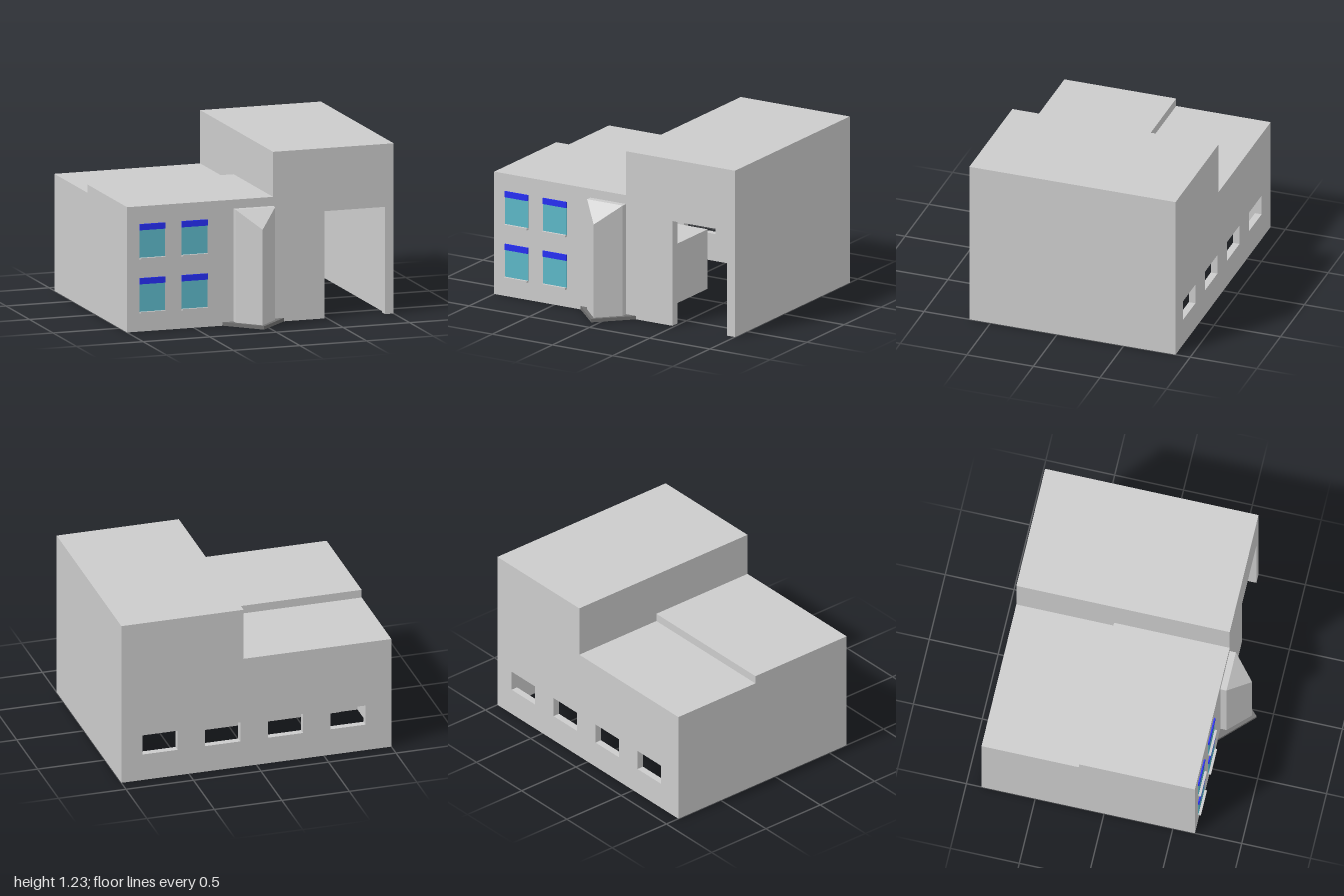
import * as THREE from 'three';

const mat = (color) => new THREE.MeshStandardMaterial({ color, flatShading: true });

export function createModel() {
  const root = new THREE.Group();
  const grey = mat(0xcccccc), dark = mat(0x707070);
  const teal = mat(0x5cb8c8), blue = mat(0x262ef5);

  const add = (name, geometry, material = grey) => {
    const mesh = new THREE.Mesh(geometry, material);
    mesh.name = name;
    root.add(mesh);
    return mesh;
  };
  // Box given by its limits on each axis
  const box = (name, [x0, x1], [y0, y1], [z0, z1], material) =>
    add(name, new THREE.BoxGeometry(x1 - x0, y1 - y0, z1 - z0)
      .translate((x0 + x1) / 2, (y0 + y1) / 2, (z0 + z1) / 2), material);
  const shape = (points) => new THREE.Shape(points.map(([x, y]) => new THREE.Vector2(x, y)));
  const extrude = (s, depth) => new THREE.ExtrudeGeometry(s, { depth, bevelEnabled: false });

  const T = 0.05, FRONT = 0.66, BACK = -0.89, STEP = -0.18, SPLIT = 0.095;
  const TALL = 1.23, LOW = 0.905, REAR = 0.845;

  // Front wall with the garage opening
  add('frontWall', extrude(shape([
    [-1, 0], [0.48, 0], [0.48, 0.775], [0.935, 0.775], [0.935, 0],
    [1, 0], [1, TALL], [SPLIT, TALL], [SPLIT, LOW], [-1, LOW],
  ]), 0.07).translate(0, 0, FRONT - 0.07));

  // Back wall with four small windows
  const back = shape([[-1, 0], [1, 0], [1, TALL], [SPLIT, TALL], [SPLIT, REAR], [-1, REAR]]);
  for (let i = 0; i < 4; i++) {
    const x = 0.583 - i * 0.464;
    back.holes.push(shape([[x, 0.2], [x, 0.35], [x + 0.26, 0.35], [x + 0.26, 0.2]]));
  }
  add('backWall', extrude(back, T).translate(0, 0, BACK));

  // Side walls
  const inZ = [BACK + T, FRONT - 0.07];
  box('leftWall', [1 - T, 1], [0, TALL], inZ);
  add('rightWall', extrude(shape([
    [-inZ[1], 0], [-inZ[0], 0], [-inZ[0], REAR], [-STEP, REAR], [-STEP, LOW], [-inZ[1], LOW],
  ]), T).rotateY(Math.PI / 2).translate(-1, 0, 0));

  // Roofs and the walls at their steps
  box('tallRoof', [SPLIT, 1 - T], [TALL - T, TALL], inZ);
  box('upperStepWall', [SPLIT, SPLIT + T], [REAR - T, TALL - T], inZ);
  box('frontLowRoof', [-1 + T, SPLIT], [LOW - T, LOW], [STEP, inZ[1]]);
  box('rearLowRoof', [-1 + T, SPLIT], [REAR - T, REAR], [inZ[0], STEP]);
  box('roofStep', [-1 + T, SPLIT], [REAR - T, LOW - T], [STEP, STEP + T]);

  // Inner rooms beside and in front of the open garage, with two plain doors
  box('innerRooms', [-1 + T, 0.22], [0, 0.44], [-0.24, inZ[1]]);
  box('innerSideDoor', [0.22, 0.225], [0, 0.27], [0.27, 0.39]);
  box('innerRearDoor', [-0.81, -0.69], [0, 0.25], [-0.245, -0.24]);

  // Front windows: glass, blue blind and sill
  for (const [x0, x1] of [[-0.907, -0.717], [-0.592, -0.397]]) {
    for (const y of [0.13, 0.52]) {
      box('windowGlass', [x0, x1], [y + 0.012, y + 0.215], [FRONT - 0.01, FRONT + 0.004], teal);
      box('windowBlind', [x0, x1], [y + 0.213, y + 0.257], [FRONT - 0.01, FRONT + 0.01], blue);
      box('windowSill', [x0, x1], [y, y + 0.014], [FRONT - 0.01, FRONT + 0.022]);
    }
  }

  // Pointed entrance bay: five-sided prism whose front edge is cut lower
  const C = -0.053, topY = 0.84, z1 = 0.705, tip = 0.857;
  const outline = [[C - 0.148, FRONT], [C - 0.148, z1], [C, tip], [C + 0.148, z1], [C + 0.148, FRONT]];
  const lo = outline.map(([x, z]) => [x, 0.025, z]);
  const hi = outline.map(([x, z]) => [x, z === tip ? 0.715 : topY, z]);
  const tris = [hi[0], hi[1], hi[3], hi[0], hi[3], hi[4], hi[1], hi[2], hi[3]];
  for (let i = 0; i < 4; i++) {
    tris.push(lo[i], lo[i + 1], hi[i + 1], lo[i], hi[i + 1], hi[i]);
  }
  const bay = new THREE.BufferGeometry();
  bay.setAttribute('position', new THREE.Float32BufferAttribute(tris.flat(), 3));
  bay.computeVertexNormals();
  add('entranceBay', bay);

  // Triangular doorstep
  add('doorstep', extrude(shape([[C - 0.23, -FRONT], [C, -0.89], [C + 0.23, -FRONT]]), 0.025)
    .rotateX(-Math.PI / 2), dark);

  return root;
}
